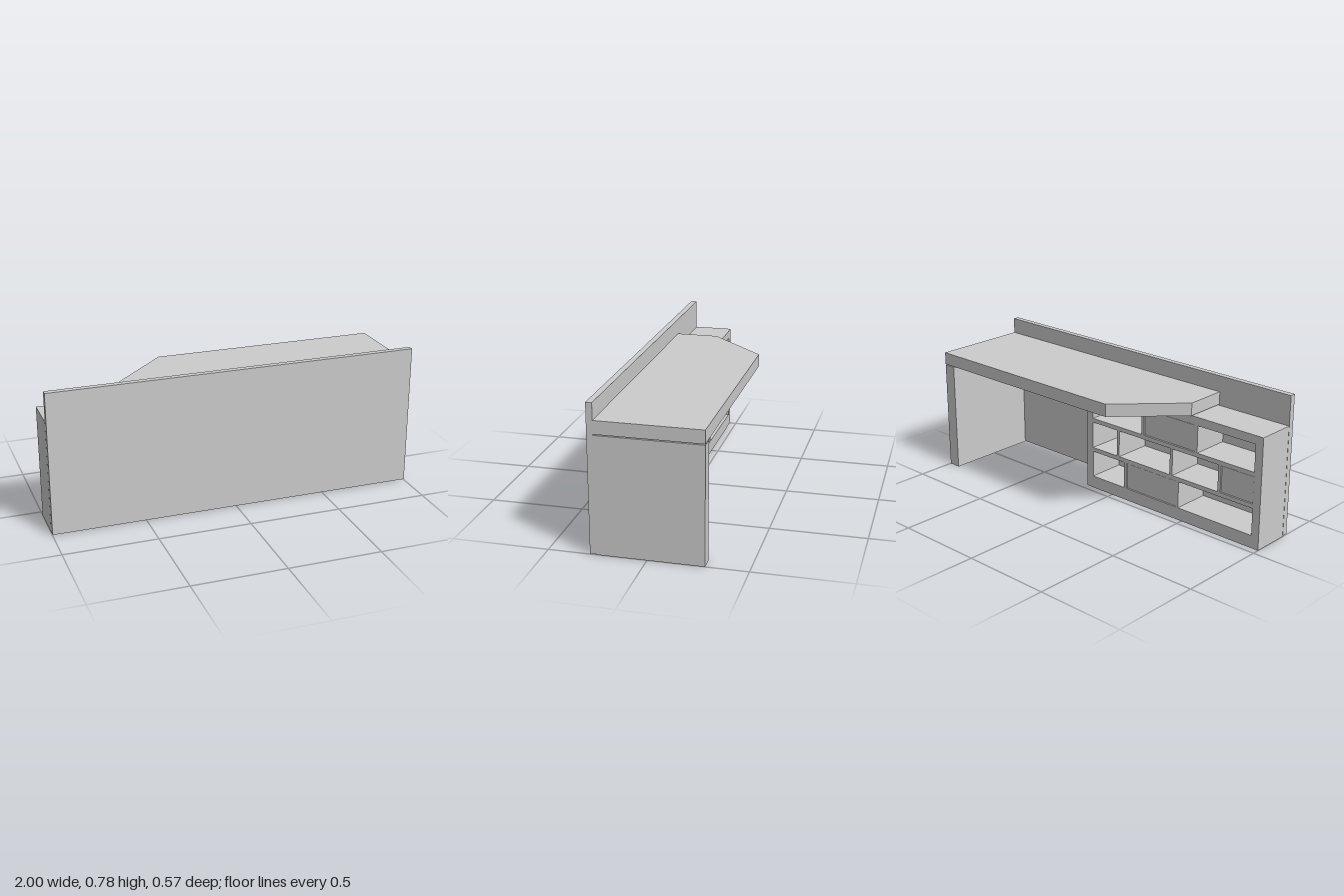
import * as THREE from 'three';

const grey = new THREE.MeshStandardMaterial({ color: 0xcccccc, side: THREE.DoubleSide });

// Box given by its min and max on each axis; openBottom drops the underside
function board(parent, name, [x0, x1], [y0, y1], [z0, z1], openBottom = false) {
  const geo = new THREE.BoxGeometry(x1 - x0, y1 - y0, z1 - z0);
  if (openBottom) {
    const idx = Array.from(geo.index.array);
    idx.splice(18, 6);
    geo.setIndex(idx);
    geo.clearGroups();
  }
  const mesh = new THREE.Mesh(geo, grey);
  mesh.name = name;
  mesh.position.set((x0 + x1) / 2, (y0 + y1) / 2, (z0 + z1) / 2);
  parent.add(mesh);
  return mesh;
}

function createDesktop() {
  // Outline in x and -z, with one corner cut off
  const outline = [[1, -0.254], [1, 0.286], [-0.25, 0.286], [-0.56, -0.024], [-0.56, -0.254]];
  const shape = new THREE.Shape(outline.map(([x, y]) => new THREE.Vector2(x, y)));
  const geo = new THREE.ExtrudeGeometry(shape, { depth: 0.069, bevelEnabled: false });
  geo.rotateX(-Math.PI / 2);
  const mesh = new THREE.Mesh(geo, grey);
  mesh.name = 'desktop';
  mesh.position.y = 0.619;
  return mesh;
}

function createShelfUnit() {
  const unit = new THREE.Group();
  unit.name = 'shelfUnit';
  const x0 = -1, x1 = 0.19, edge = 0.046, thin = 0.024, row = 0.15;
  const z = [0.038, 0.252];

  // Carcass: hollow plinth, top, sides
  board(unit, 'plinth', [x0, x1], [0, edge], z, true);
  board(unit, 'unitTop', [x0, x1], [0.568, 0.614], z);
  board(unit, 'rightSide', [x0, x0 + edge], [edge, 0.568], z);
  board(unit, 'leftSide', [x1 - edge, x1], [edge, 0.568], z);
  const inner = [x0 + edge, x1 - edge];

  // Rows from the bottom up: divider centres and the span closed by a door
  const rows = [
    { dividers: [-0.097, -0.465], door: [-0.456, -0.106] },
    { dividers: [-0.043, -0.42, -0.74], door: [inner[0], -0.749] },
    { dividers: [-0.22, -0.583], door: [-0.574, -0.229] },
  ];
  rows.forEach(({ dividers, door }, i) => {
    const y = edge + i * (row + thin);
    const open = [y + thin, y + thin + row];
    board(unit, 'shelf', inner, [y, y + thin], z);
    for (const x of dividers) board(unit, 'divider', [x - 0.009, x + 0.009], open, z);
    board(unit, 'door', [door[0] + 0.003, door[1] - 0.003],
      [open[0] + 0.003, open[1] - 0.003], [z[0] + 0.004, z[0] + 0.022]);
  });
  return unit;
}

export function createModel() {
  const model = new THREE.Group();
  model.name = 'receptionDesk';
  board(model, 'frontPanel', [-1, 1], [0.004, 0.775], [0.254, 0.286]);
  model.add(createDesktop());
  // Hollow end support, open underneath
  board(model, 'endSupport', [0.93, 1], [0, 0.614], [-0.286, 0.254], true);
  model.add(createShelfUnit());
  return model;
}
